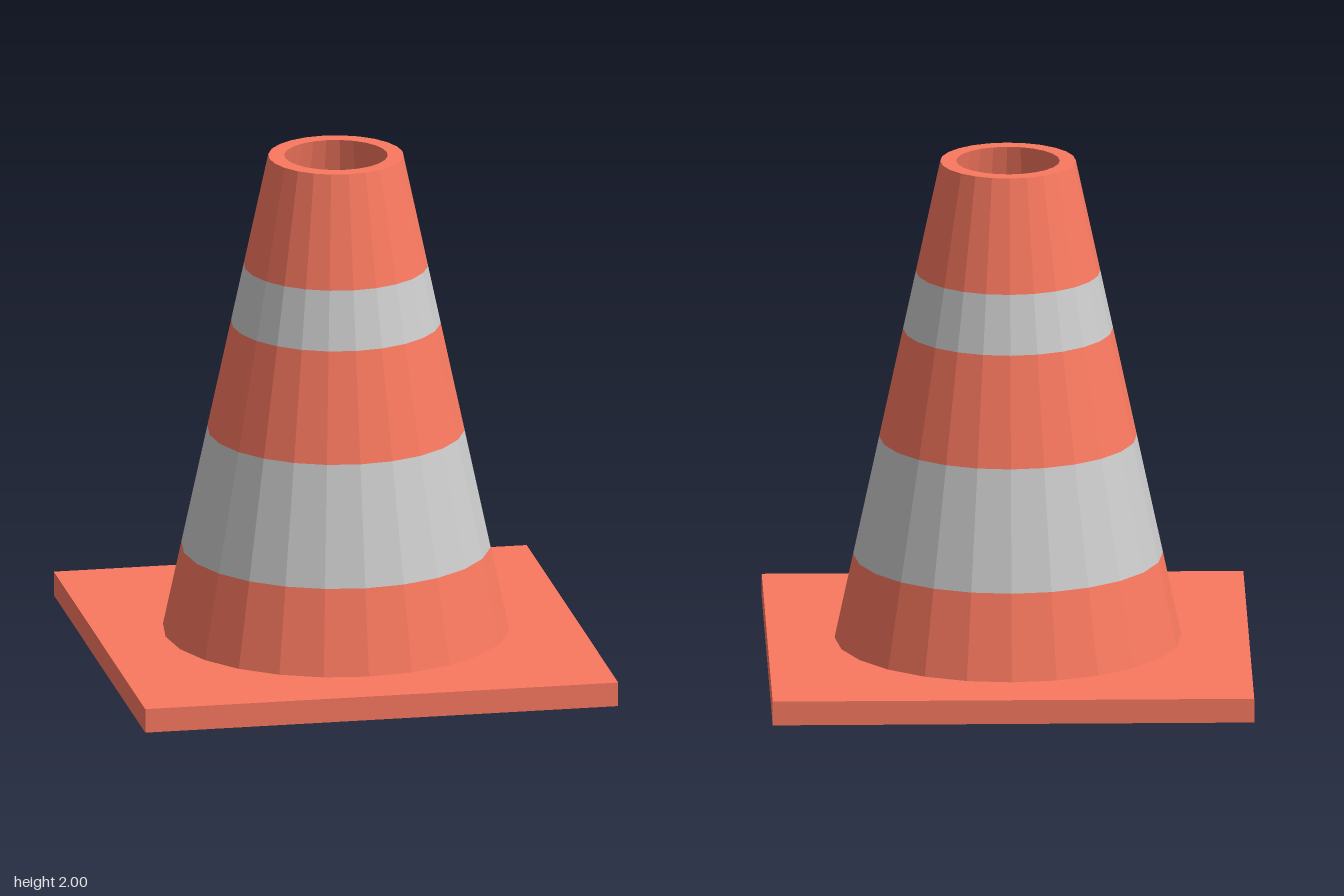
import * as THREE from 'three';

const SIDES = 24;
const BASE_TOP = 0.095, TOP = 2;
const BOTTOM_RADIUS = 0.67, TOP_RADIUS = 0.262, WALL = 0.062;

// Outer radius of the cone at height y
const radiusAt = (y) =>
  THREE.MathUtils.mapLinear(y, BASE_TOP, TOP, BOTTOM_RADIUS, TOP_RADIUS);

export function createModel() {
  const group = new THREE.Group();
  const orange = new THREE.MeshStandardMaterial({ color: 0xfa7960, flatShading: true });
  const grey = new THREE.MeshStandardMaterial({ color: 0xcccccc, flatShading: true });

  const add = (name, geometry, material) => {
    const mesh = new THREE.Mesh(geometry, material);
    mesh.name = name;
    group.add(mesh);
    return mesh;
  };

  // Square foot plate
  add('base', new THREE.BoxGeometry(1.86, BASE_TOP, 1.86), orange).position.y = BASE_TOP / 2;

  // Outer wall, stacked in alternating coloured bands
  const bands = [
    ['lowerBody', BASE_TOP, 0.43, orange],
    ['wideStripe', 0.43, 0.9, grey],
    ['middleBody', 0.9, 1.33, orange],
    ['narrowStripe', 1.33, 1.56, grey],
    ['upperBody', 1.56, TOP, orange],
  ];
  for (const [name, y0, y1, material] of bands) {
    const band = new THREE.CylinderGeometry(radiusAt(y1), radiusAt(y0), y1 - y0, SIDES, 1, true);
    add(name, band, material).position.y = (y0 + y1) / 2;
  }

  // Rim and hollow inside, running from the outer lip down to the base
  const lining = [
    new THREE.Vector2(TOP_RADIUS, TOP),
    new THREE.Vector2(TOP_RADIUS - WALL, TOP),
    new THREE.Vector2(BOTTOM_RADIUS - WALL, BASE_TOP),
  ];
  const liningMaterial = orange.clone();
  liningMaterial.side = THREE.DoubleSide;
  add('rimAndInnerWall', new THREE.LatheGeometry(lining, SIDES), liningMaterial);

  return group;
}
